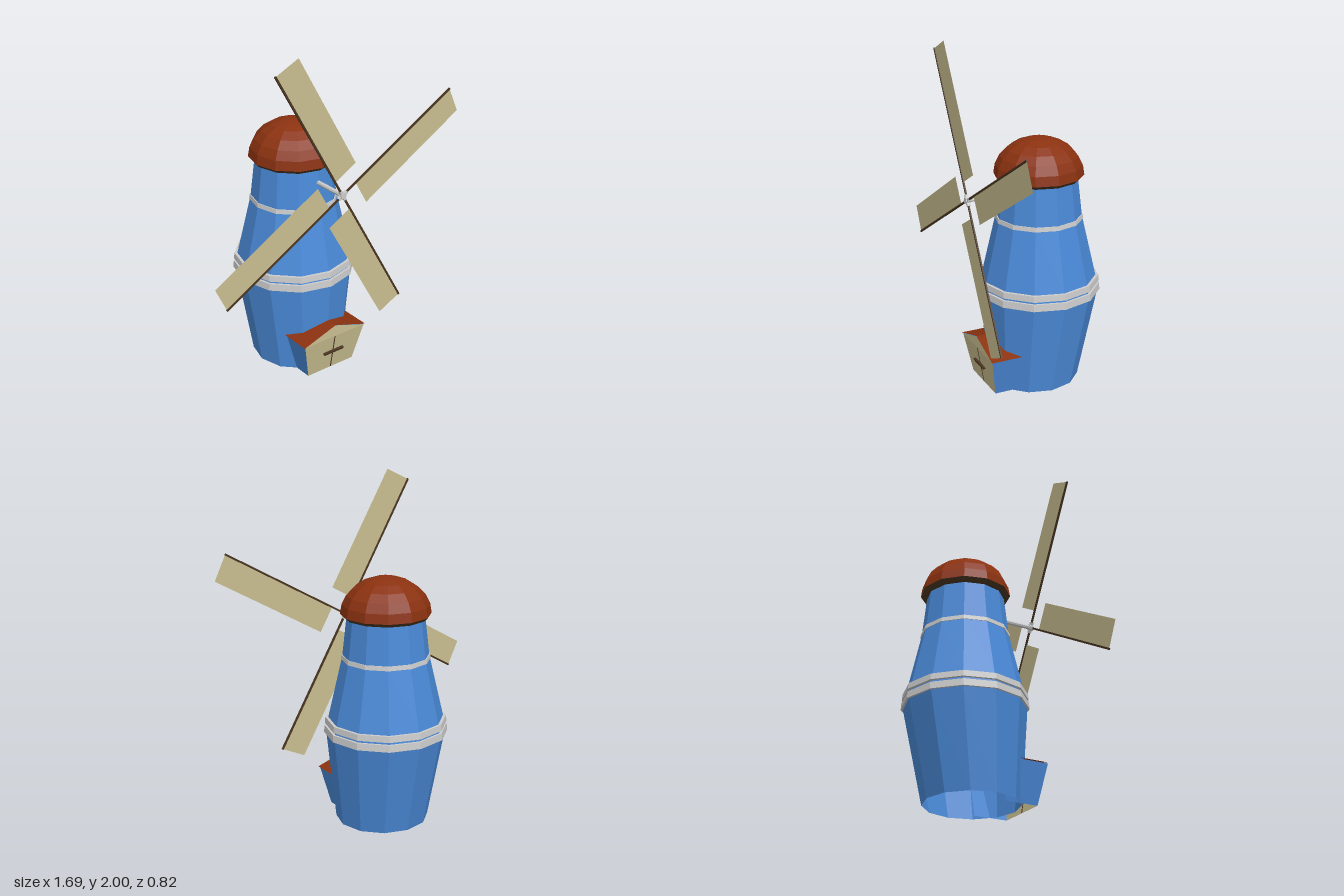
import * as THREE from 'three';

const SIDES = 12;
const TOWER_Z = -0.05;
const paint = (color) => new THREE.MeshStandardMaterial({ color, flatShading: true, side: THREE.DoubleSide });
const BLUE = paint(0x4a8ad8);
const RED = paint(0x8b3210);
const GREY = paint(0xcccccc);
const CANVAS = paint(0xc9be90);
const WOOD = paint(0x4a3520);

function add(parent, name, geometry, material, x = 0, y = 0, z = 0) {
  const mesh = new THREE.Mesh(geometry, material);
  mesh.name = name;
  mesh.position.set(x, y, z);
  parent.add(mesh);
  return mesh;
}

const lathe = (points) =>
  new THREE.LatheGeometry(points.map(([r, y]) => new THREE.Vector2(r, y)), SIDES);

// Flat polygon from corners, fanned around the first one
function panel(corners) {
  const geometry = new THREE.BufferGeometry();
  geometry.setAttribute('position', new THREE.Float32BufferAttribute(corners.flat(), 3));
  const index = [];
  for (let i = 1; i < corners.length - 1; i++) index.push(0, i, i + 1);
  geometry.setIndex(index);
  const flat = geometry.toNonIndexed();
  flat.computeVertexNormals();
  return flat;
}

function createTower() {
  const tower = new THREE.Group();
  tower.name = 'tower';
  tower.position.z = TOWER_Z;

  // Open-bottomed body whose foot leans slightly forward
  const body = lathe([[0.272, 0], [0.347, 0.545], [0.335, 0.63], [0.25, 1.0], [0.222, 1.25]]);
  const pos = body.attributes.position;
  for (let i = 0; i < pos.count; i++) {
    if (pos.getY(i) < 0.01) pos.setZ(i, pos.getZ(i) + 0.042);
  }
  body.computeVertexNormals();
  add(tower, 'towerWall', body, BLUE);

  // Hoops: bottom, top, radius
  for (const [y0, y1, r] of [[0.545, 0.585, 0.36], [0.6, 0.635, 0.355], [0.985, 1.01, 0.258]]) {
    const inner = r - 0.03;
    add(tower, 'hoop', lathe([[inner, y0], [r, y0], [r - 0.004, y1], [inner, y1]]), GREY);
  }

  // Domed cap with a dark tapered rim under it
  const dome = [];
  for (let i = 0; i <= 6; i++) {
    const a = (i / 6) * Math.PI / 2;
    dome.push([0.26 * Math.cos(a), 1.25 + 0.215 * Math.sin(a)]);
  }
  add(tower, 'capDome', lathe(dome), RED);
  add(tower, 'capRim', lathe([[0.2, 1.23], [0.24, 1.23], [0.26, 1.25]]), WOOD);
  return tower;
}

function createPorch() {
  const porch = new THREE.Group();
  porch.name = 'porch';
  const back = 0.1;

  // Gabled front leaning outward, level with the roof edge at the top
  add(porch, 'doorFront', panel([
    [-0.165, 0, 0.307], [0.165, 0, 0.307], [0.218, 0.23, 0.347], [-0.218, 0.23, 0.347],
  ]), CANVAS);
  add(porch, 'gable', panel([[-0.218, 0.23, 0.347], [0.218, 0.23, 0.347], [0, 0.303, 0.347]]), CANVAS);

  for (const s of [-1, 1]) {
    add(porch, 'porchWall', panel([
      [s * 0.165, 0, 0.307], [s * 0.165, 0, back], [s * 0.218, 0.23, back], [s * 0.218, 0.23, 0.347],
    ]), BLUE);
    add(porch, 'porchRoof', panel([
      [0, 0.307, 0.352], [s * 0.226, 0.233, 0.352], [s * 0.226, 0.233, back], [0, 0.307, back],
    ]), RED);
  }

  // Door seam and latch bar follow the lean of the front
  const lean = Math.atan2(0.04, 0.23);
  const seam = add(porch, 'doorSeam', new THREE.BoxGeometry(0.006, 0.23, 0.004), WOOD, 0, 0.116, 0.327);
  const latch = add(porch, 'doorLatch', new THREE.BoxGeometry(0.14, 0.012, 0.018), WOOD, 0, 0.125, 0.334);
  seam.rotation.x = latch.rotation.x = lean;
  return porch;
}

function createSails() {
  const rotor = new THREE.Group();
  rotor.name = 'sails';
  rotor.position.set(0, 1.152, 0.392);

  const axle = add(rotor, 'axle', new THREE.CylinderGeometry(0.013, 0.013, 0.26, 8), GREY, 0, 0, -0.13);
  axle.rotation.x = Math.PI / 2;
  const hub = add(rotor, 'hub', new THREE.CylinderGeometry(0.018, 0.018, 0.028, 8), GREY);
  hub.rotation.x = Math.PI / 2;

  // Four arms, each with a socket and a sail along one side
  for (let i = 0; i < 4; i++) {
    const blade = new THREE.Group();
    blade.name = 'blade';
    blade.rotation.z = Math.PI / 6 + i * Math.PI / 2;
    add(blade, 'socket', new THREE.BoxGeometry(0.03, 0.016, 0.018), GREY, 0.018, 0, 0);
    add(blade, 'arm', new THREE.BoxGeometry(0.895, 0.011, 0.009), WOOD, 0.4475, 0, 0);
    add(blade, 'sail', panel([
      [0.105, 0, 0], [0.105, -0.163, 0], [0.881, -0.161, 0], [0.893, 0, 0],
    ]), CANVAS);
    rotor.add(blade);
  }
  return rotor;
}

export function createModel() {
  const model = new THREE.Group();
  model.name = 'windmill';
  model.add(createTower(), createPorch(), createSails());
  return model;
}
